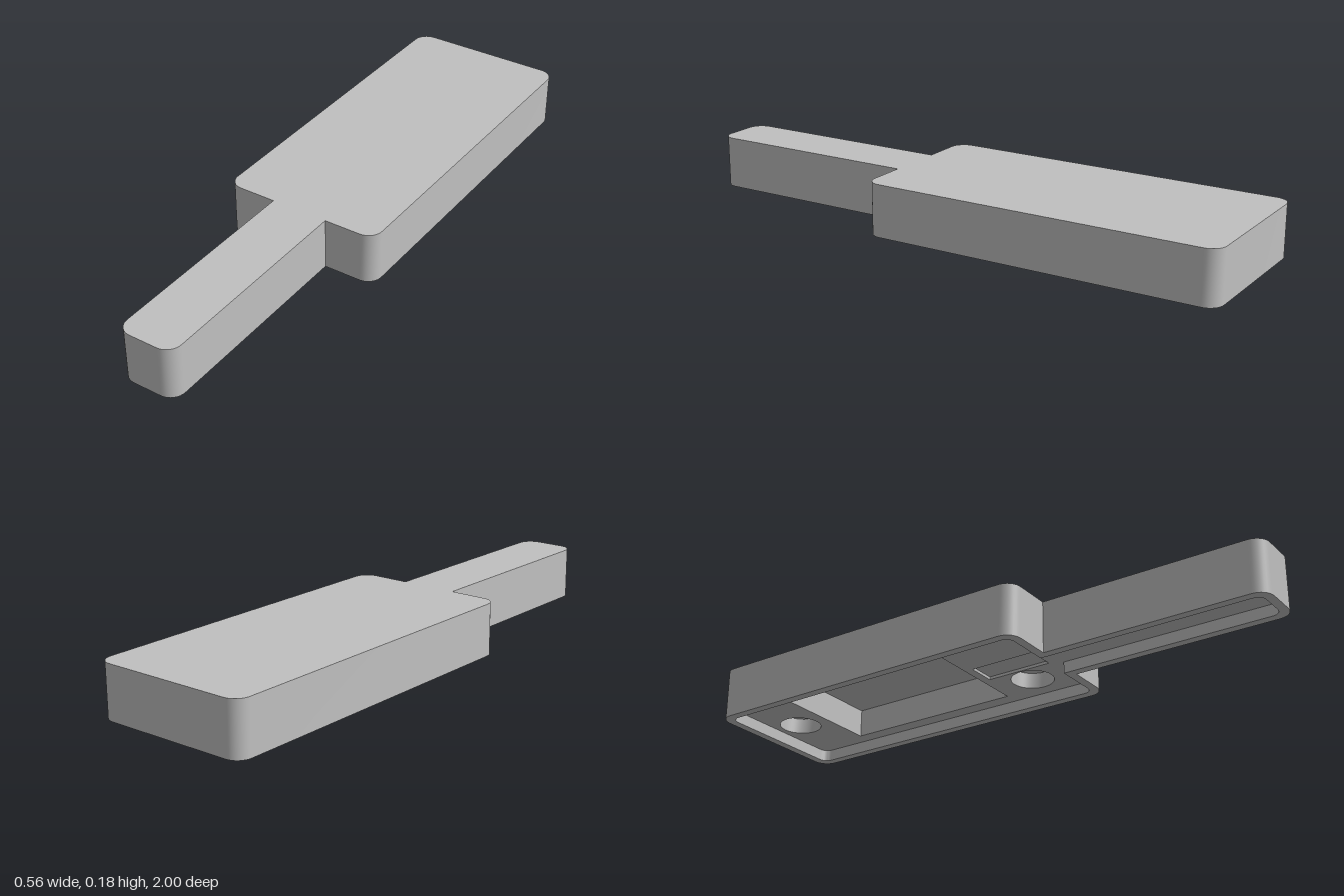
import * as THREE from 'three';
import { mergeGeometries, toCreasedNormals } from 'three/addons/utils/BufferGeometryUtils.js';

const HEIGHT = 0.18, RECESS = 0.04;

// Closed loop of (x, z) points from right-angled corners [x, z, radius]
function roundedLoop(corners) {
  const points = [];
  corners.forEach(([x, z, r], i) => {
    const p = new THREE.Vector2(x, z);
    if (!r) { points.push(p); return; }
    const n = corners.length;
    const [ax, az] = corners[(i + n - 1) % n], [bx, bz] = corners[(i + 1) % n];
    const u = new THREE.Vector2(ax, az).sub(p).normalize();
    const v = new THREE.Vector2(bx, bz).sub(p).normalize();
    for (let k = 0; k <= 8; k++) {
      const t = (k / 8) * Math.PI / 2;
      points.push(p.clone()
        .addScaledVector(u, r * (1 - Math.sin(t)))
        .addScaledVector(v, r * (1 - Math.cos(t))));
    }
  });
  return points;
}

// Paddle outline, inset by a given margin: wide body at the back, narrow handle in front
function paddleLoop(inset, r) {
  const b = 0.28 - inset, h = 0.1 - inset, neck = 0.23 - inset, end = 1 - inset;
  const left = [[b, -end, r], [b, neck, r], [h, neck, 0], [h, end, r]];
  const right = left.map(([x, z, q]) => [-x, z, q]).reverse();
  return roundedLoop([...left, ...right]);
}

const rectLoop = (x, z0, z1) => roundedLoop([[x, z0, 0], [x, z1, 0], [-x, z1, 0], [-x, z0, 0]]);

const circleLoop = (x, z, r) => Array.from({ length: 40 }, (_, i) => {
  const a = (i / 40) * Math.PI * 2;
  return new THREE.Vector2(x + r * Math.cos(a), z + r * Math.sin(a));
});

// Horizontal face looking down, with optional openings
function faceDown(loop, y, openings = []) {
  const shape = new THREE.Shape(loop);
  shape.holes = openings.map((o) => new THREE.Path(o));
  return new THREE.ShapeGeometry(shape).rotateX(Math.PI / 2).translate(0, y, 0);
}

// Horizontal face looking up
function faceUp(loop, y) {
  const shape = new THREE.Shape(loop.map((p) => new THREE.Vector2(p.x, -p.y)));
  return new THREE.ShapeGeometry(shape).rotateX(-Math.PI / 2).translate(0, y, 0);
}

// Vertical wall around a loop, facing outward or inward
function wall(loop, y0, y1, inward) {
  const pts = THREE.ShapeUtils.area(loop) > 0 ? loop.slice() : loop.slice().reverse();
  if (!inward) pts.reverse();
  const pos = [];
  pts.forEach((p, i) => {
    const q = pts[(i + 1) % pts.length];
    pos.push(p.x, y0, p.y, q.x, y0, q.y, q.x, y1, q.y);
    pos.push(p.x, y0, p.y, q.x, y1, q.y, p.x, y1, p.y);
  });
  const g = new THREE.BufferGeometry();
  g.setAttribute('position', new THREE.Float32BufferAttribute(pos, 3));
  return toCreasedNormals(g, Math.PI / 5);
}

export function createModel() {
  const model = new THREE.Group();
  model.name = 'paddleHousing';
  const grey = new THREE.MeshStandardMaterial({ color: 0xc0c0c0 });
  grey.name = 'grey plastic';

  const add = (name, ...geometries) => {
    const parts = geometries.map((g) => {
      const flat = g.index ? g.toNonIndexed() : g;
      flat.deleteAttribute('uv');
      return flat;
    });
    const mesh = new THREE.Mesh(mergeGeometries(parts), grey);
    mesh.name = name;
    model.add(mesh);
  };

  const outer = paddleLoop(0, 0.05);
  const inner = paddleLoop(0.03, 0.03);

  // Cavities sunk into the recess floor, each with its own depth
  const cavities = [
    { name: 'mainPocket', loop: rectLoop(0.2, -0.76, -0.11), depth: 0.1 },
    { name: 'shallowSlot', loop: rectLoop(0.05, -0.08, 0.155), depth: 0.01 },
    { name: 'rearHole', loop: circleLoop(0, -0.875, 0.073), depth: 0.055 },
    { name: 'sideHole', loop: circleLoop(0.13, 0.04, 0.073), depth: 0.055 },
  ];

  // Outer shell
  add('topFace', faceUp(outer, HEIGHT));
  add('outerWall', wall(outer, 0, HEIGHT, false));

  // Underside rim and recess
  add('bottomRim', faceDown(outer, 0, [inner]));
  add('recessWall', wall(inner, 0, RECESS, true));
  add('recessFloor', faceDown(inner, RECESS, cavities.map((c) => c.loop)));

  // Pockets and holes
  for (const { name, loop, depth } of cavities) {
    add(name, wall(loop, RECESS, RECESS + depth, true), faceDown(loop, RECESS + depth));
  }
  return model;
}
